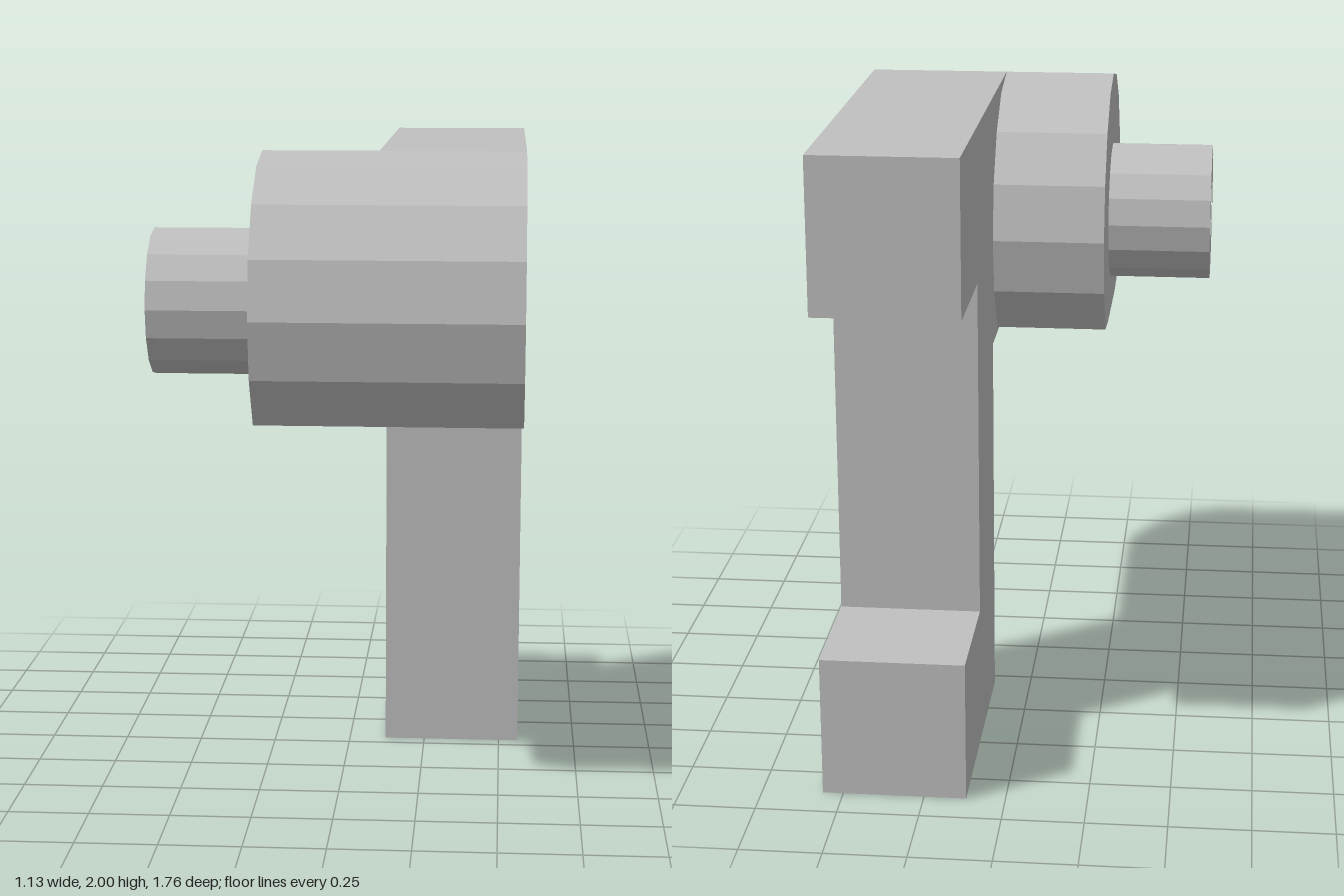
import * as THREE from 'three';

const metal = new THREE.MeshStandardMaterial({ color: 0xc0c0c0 });
metal.name = 'plain grey';

const AXIS_Z = 0.42, AXIS_Y = 1.54, SIDES = 16;

// Points of a sixteen-sided ring around the barrel axis, as [z, y]
function ring(radius, from = 0, to = SIDES - 1) {
  const points = [];
  for (let i = from; i <= to; i++) {
    const a = (i / SIDES) * Math.PI * 2;
    points.push([AXIS_Z + radius * Math.cos(a), AXIS_Y + radius * Math.sin(a)]);
  }
  return points;
}

// Side profile in [z, y], extruded along x from x0 to x1
function slab(name, profile, x0, x1, hole) {
  const toVec = ([z, y]) => new THREE.Vector2(-z, y);
  const shape = new THREE.Shape(profile.map(toVec));
  if (hole) shape.holes.push(new THREE.Path(hole.map(toVec)));
  const geometry = new THREE.ExtrudeGeometry(shape, { depth: x1 - x0, bevelEnabled: false });
  geometry.rotateY(Math.PI / 2).translate(x0, 0, 0);
  const mesh = new THREE.Mesh(geometry, metal);
  mesh.name = name;
  return mesh;
}

export function createModel() {
  const group = new THREE.Group();
  group.name = 'clampBracket';

  // C-shaped bracket plate with a rounded nose
  group.add(slab('bracketPlate', [
    [-0.05, 0], [-0.05, 1.2], [0.6, 1.2],
    ...ring(0.46, -2, 4),
    [-0.88, 1.995], [-0.88, 1.52], [-0.475, 1.52],
    [-0.475, 0.445], [-0.88, 0.445], [-0.88, 0],
  ], 0.12, 0.563));

  // Barrel with its underside cut flat
  group.add(slab('barrel', [[0.6, 1.2], ...ring(0.46, -2, 10), [0.24, 1.2]], -0.235, 0.12));

  // Hollow spigot on the barrel's end
  group.add(slab('spigot', ring(0.225), -0.567, -0.235, ring(0.09)));

  return group;
}
